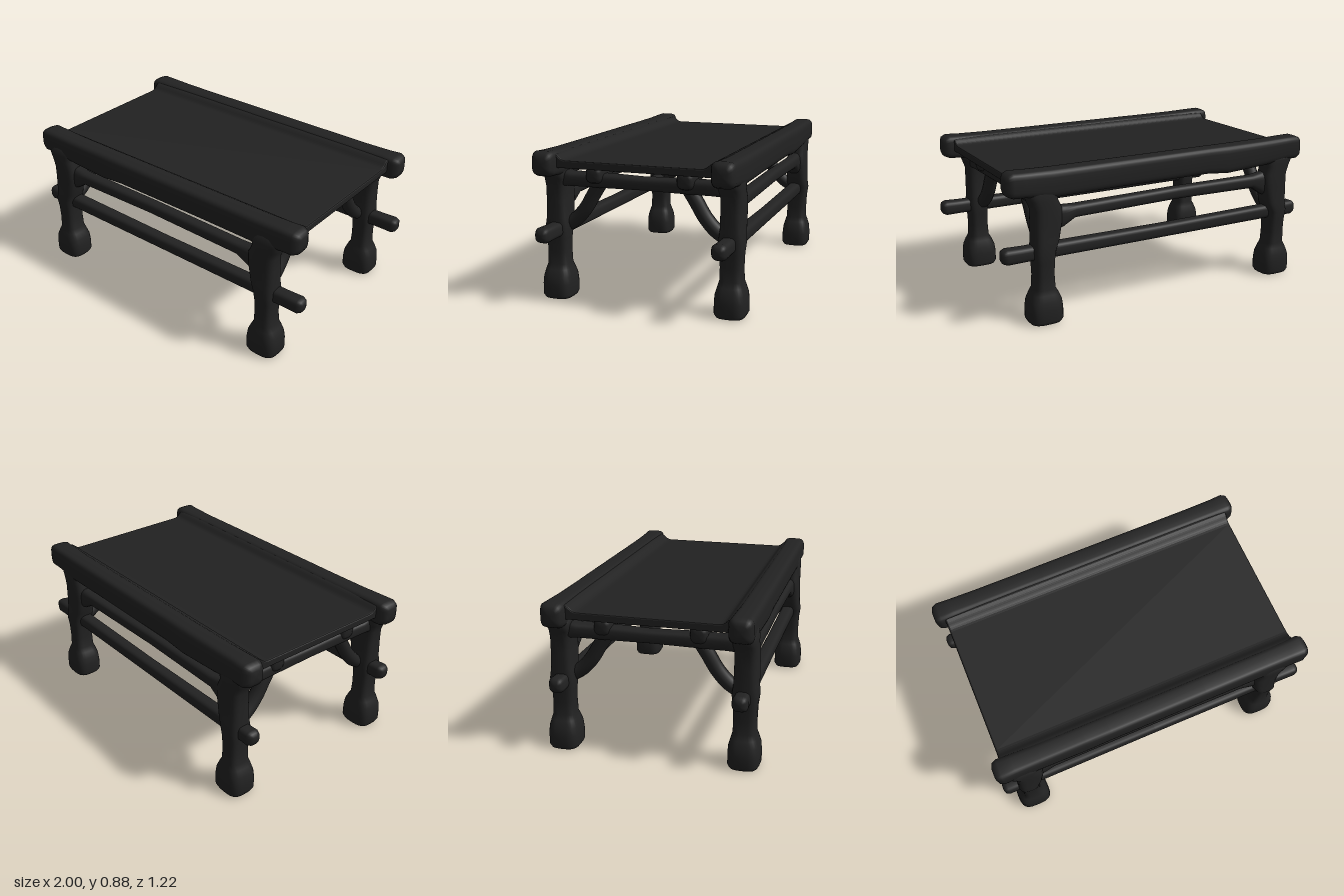
import * as THREE from 'three';

const blackWood = new THREE.MeshStandardMaterial({ color: 0x222222 });
blackWood.name = 'blackWood';

// Smooth closed bar along an axis from stations [t, centreU, centreV, halfU, halfV].
// (u, v) is (y, z) for x, (z, x) for y and (x, y) for z; power sets how square it is.
function loft(axis, stations, power = 4, n = 28) {
  const first = { x: 0, y: 1, z: 2 }[axis];
  const pos = [], idx = [];
  const push = (t, u, v) => {
    const p = [0, 0, 0];
    p[first] = t; p[(first + 1) % 3] = u; p[(first + 2) % 3] = v;
    pos.push(...p);
  };
  const bend = (c) => Math.sign(c) * Math.pow(Math.abs(c), 2 / power);
  for (const [t, cu, cv, hu, hv] of stations) {
    for (let j = 0; j < n; j++) {
      const a = (j / n) * Math.PI * 2;
      push(t, cu + hu * bend(Math.cos(a)), cv + hv * bend(Math.sin(a)));
    }
  }
  const last = stations.length - 1;
  for (let i = 0; i < last; i++) {
    for (let j = 0; j < n; j++) {
      const k = (j + 1) % n, a = i * n;
      idx.push(a + j, a + k, a + n + j, a + k, a + n + k, a + n + j);
    }
  }
  const c = pos.length / 3;
  push(...stations[0].slice(0, 3));
  push(...stations[last].slice(0, 3));
  for (let j = 0; j < n; j++) {
    const k = (j + 1) % n;
    idx.push(c, k, j, c + 1, last * n + j, last * n + k);
  }
  const g = new THREE.BufferGeometry();
  g.setAttribute('position', new THREE.Float32BufferAttribute(pos, 3));
  g.setIndex(idx);
  g.computeVertexNormals();
  return g;
}

// Straight bar with rounded ends; body lists the stations between the two ends.
function bar(axis, t0, t1, u, v, hu, hv, round = 0.03, body = [], power = 4) {
  const end = (t, s) => [
    [t, u, v, hu - round * 0.9, hv - round * 0.9],
    [t + s * round * 0.3, u, v, hu - round * 0.3, hv - round * 0.3],
    [t + s * round, u, v, hu, hv],
  ];
  return loft(axis, [...end(t0, 1), ...body, ...end(t1, -1).reverse()], power);
}

export function createModel() {
  const model = new THREE.Group();
  model.name = 'lowTable';
  const add = (name, geometry) => {
    const mesh = new THREE.Mesh(geometry, blackWood);
    mesh.name = name;
    model.add(mesh);
    return mesh;
  };

  // Table top: a thin slab whose long edges sweep up to the rails
  const s = new THREE.Shape();
  s.moveTo(-0.52, 0.79);
  s.lineTo(0.52, 0.79);
  s.lineTo(0.52, 0.87);
  s.lineTo(0.46, 0.87);
  s.bezierCurveTo(0.43, 0.86, 0.43, 0.835, 0.39, 0.834);
  s.lineTo(-0.39, 0.834);
  s.bezierCurveTo(-0.43, 0.835, -0.43, 0.86, -0.46, 0.87);
  s.lineTo(-0.52, 0.87);
  s.closePath();
  const top = new THREE.ExtrudeGeometry(s, {
    depth: 1.83, bevelThickness: 0.01, bevelSize: 0.006, bevelOffset: -0.006, bevelSegments: 2, curveSegments: 8,
  });
  top.rotateY(-Math.PI / 2);
  top.translate(0.9, 0, 0);
  add('tableTop', top);

  for (const side of [1, -1]) {
    const where = side > 0 ? 'front' : 'back';
    const zRail = side > 0 ? 0.513 : -0.523;

    // Raised edge rail with fuller ends and an uneven underside
    add(where + 'EdgeRail', bar('x', -0.998, 0.972, 0.815, zRail, 0.072, 0.069, 0.04, [
      [-0.88, 0.814, zRail, 0.072, 0.066],
      [-0.72, 0.803, zRail, 0.079, 0.065],
      [-0.45, 0.795, zRail, 0.086, 0.065],
      [-0.3, 0.802, zRail, 0.079, 0.065],
      [0.3, 0.802, zRail, 0.078, 0.065],
      [0.7, 0.8, zRail, 0.08, 0.065],
      [0.86, 0.811, zRail, 0.072, 0.066],
    ]));

    // Middle rail, flaring into the legs
    const zMid = side * 0.515;
    add(where + 'MiddleRail', loft('x', [
      [-0.82, 0.59, zMid, 0.09, 0.05],
      [-0.73, 0.605, zMid, 0.07, 0.045],
      [-0.66, 0.622, zMid, 0.04, 0.04],
      [-0.1, 0.628, zMid, 0.037, 0.038],
      [0.56, 0.618, zMid, 0.038, 0.04],
      [0.63, 0.6, zMid, 0.06, 0.045],
      [0.74, 0.59, zMid, 0.09, 0.05],
    ], 2.8));

    // Low rail passing through the legs
    add(where + 'LowRail', bar('x', -0.998, 0.998, 0.415, zMid, 0.045, 0.045, 0.03, [
      [-0.9, 0.414, zMid, 0.043, 0.043],
      [0.0, 0.41, zMid, 0.04, 0.04],
      [0.88, 0.414, zMid, 0.043, 0.043],
    ], 3));

    // Long joist under the table top
    const zJoist = side * 0.27;
    add(where + 'Joist', bar('x', -0.9, 0.83, 0.745, zJoist, 0.05, 0.05, 0.025, [
      [-0.78, 0.75, zJoist, 0.055, 0.05],
      [-0.7, 0.765, zJoist, 0.042, 0.042],
      [0.62, 0.765, zJoist, 0.042, 0.042],
      [0.72, 0.75, zJoist, 0.055, 0.05],
    ], 3));
  }

  for (const x of [-0.843, 0.757]) {
    const end = x < 0 ? 'right' : 'left';
    const inward = x < 0 ? 1 : -1;

    // Cross beam joining front and back legs
    add(end + 'CrossBeam', loft('z', [
      [-0.53, x, 0.72, 0.06, 0.06],
      [-0.42, x, 0.708, 0.052, 0.042],
      [-0.25, x, 0.708, 0.048, 0.042],
      [0, x, 0.706, 0.045, 0.037],
      [0.25, x, 0.708, 0.048, 0.042],
      [0.42, x, 0.708, 0.052, 0.042],
      [0.53, x, 0.72, 0.06, 0.06],
    ], 3));

    for (const side of [1, -1]) {
      const corner = (side > 0 ? 'front' : 'back') + (x < 0 ? 'Right' : 'Left');
      const z = side * 0.522, xi = x + inward * 0.025;

      // Leg with a bulbous foot, thickening towards the top
      add(corner + 'Leg', loft('y', [
        [0.003, z, x, 0.06, 0.07],
        [0.006, z, x, 0.08, 0.09],
        [0.025, z, x, 0.09, 0.101],
        [0.09, z, x, 0.09, 0.101],
        [0.135, z, x, 0.086, 0.095],
        [0.175, z, x, 0.075, 0.078],
        [0.205, z, x, 0.066, 0.061],
        [0.28, z, x, 0.064, 0.057],
        [0.36, z, x, 0.067, 0.06],
        [0.42, z, x, 0.075, 0.066],
        [0.48, z, x + inward * 0.015, 0.068, 0.076],
        [0.58, z, xi, 0.066, 0.085],
        [0.66, z, xi, 0.065, 0.086],
        [0.71, z - side * 0.005, x + inward * 0.005, 0.068, 0.085],
        [0.75, z - side * 0.005, x, 0.068, 0.1],
        [0.81, z - side * 0.005, x, 0.06, 0.09],
      ], 3.2));

      // Curved brace from the leg up to the cross beam
      const path = new THREE.CatmullRomCurve3([
        [0.5, 0.42], [0.425, 0.465], [0.36, 0.535], [0.305, 0.625], [0.25, 0.71],
      ].map(([bz, by]) => new THREE.Vector3(xi, by, side * bz)));
      add(corner + 'Brace', new THREE.TubeGeometry(path, 20, 0.042, 12));
    }
  }
  return model;
}
